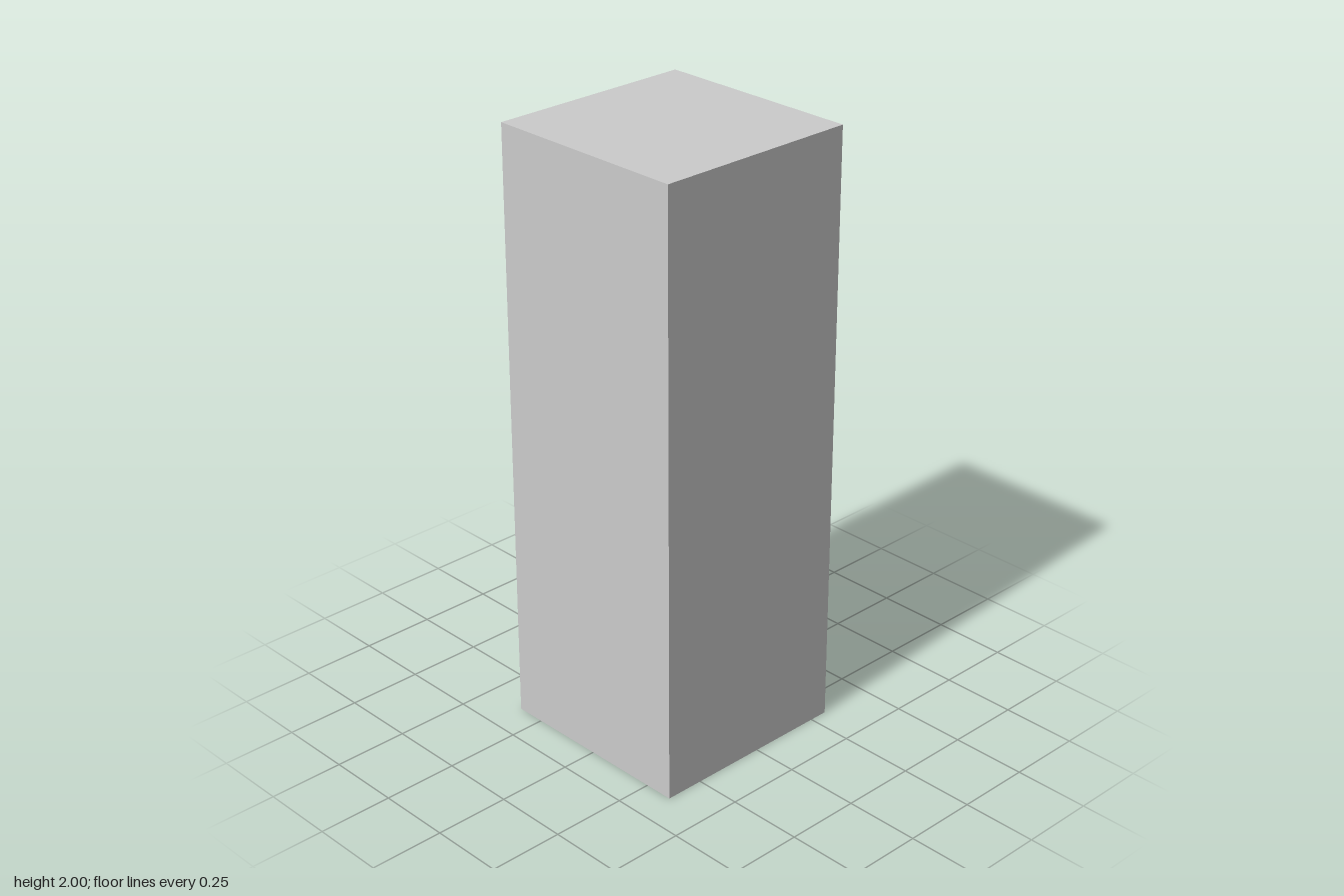
import * as THREE from 'three';

const FACE = 0.312;   // front plane of the cabinet (drawers face +x)
const DRAWER = 0.013; // drawer front thickness

const material = new THREE.MeshStandardMaterial({ color: 0xcccccc, flatShading: true });

function addMesh(parent, name, geometry, x = 0, y = 0, z = 0) {
  const mesh = new THREE.Mesh(geometry, material);
  mesh.name = name;
  mesh.position.set(x, y, z);
  parent.add(mesh);
  return mesh;
}

function rectPoints(w, h) {
  return [[-w, -h], [w, -h], [w, h], [-w, h]].map(([x, y]) => new THREE.Vector2(x / 2, y / 2));
}

// Rectangular label holder with an open window, facing +x
function labelFrameGeometry() {
  const shape = new THREE.Shape(rectPoints(0.208, 0.128));
  shape.holes.push(new THREE.Path(rectPoints(0.178, 0.102).reverse()));
  const geometry = new THREE.ExtrudeGeometry(shape, { depth: 0.012, bevelEnabled: false });
  return geometry.rotateY(Math.PI / 2);
}

// U-shaped pull: a plan outline raised in y, its top sloping down to both ends
function handleGeometry() {
  const half = [
    [0.0215, 0.035], [0.022, 0.042], [0, 0.042], [0, 0.07],
    [0.047, 0.07], [0.052, 0.067], [0.0545, 0.06], [0.055, 0.035],
  ];
  const mirrored = half.map(([x, z]) => [x, -z]).reverse();
  const outline = [...half, ...mirrored].map(([x, z]) => new THREE.Vector2(x, z));
  const geometry = new THREE.ExtrudeGeometry(new THREE.Shape(outline), { depth: 1, bevelEnabled: false });
  geometry.rotateX(-Math.PI / 2);
  const p = geometry.attributes.position;
  for (let i = 0; i < p.count; i++) {
    if (p.getY(i) < 0.5) {
      p.setY(i, 0);
      continue;
    }
    const rise = Math.min(1, (0.07 - Math.abs(p.getZ(i))) / 0.035);
    p.setY(i, 0.012 + 0.021 * rise);
  }
  geometry.computeVertexNormals();
  return geometry;
}

export function createModel() {
  const cabinet = new THREE.Group();
  cabinet.name = 'filingCabinet';

  // Plain closed carcass
  addMesh(cabinet, 'body', new THREE.BoxGeometry(0.694, 2, 0.696), FACE - 0.347, 1, 0);

  // Four identical drawers above the plinth
  const front = new THREE.BoxGeometry(DRAWER, 0.403, 0.644);
  const frame = labelFrameGeometry();
  const handle = handleGeometry();
  for (let i = 0; i < 4; i++) {
    const drawer = new THREE.Group();
    drawer.name = `drawer${i + 1}`;
    drawer.position.set(FACE, 0.235 + i * 0.4222, 0);
    addMesh(drawer, 'drawerFront', front, DRAWER / 2, 0.2015, 0);
    addMesh(drawer, 'labelFrame', frame, DRAWER, 0.284, 0);
    addMesh(drawer, 'handle', handle, DRAWER, 0.066, 0);
    cabinet.add(drawer);
  }
  return cabinet;
}
